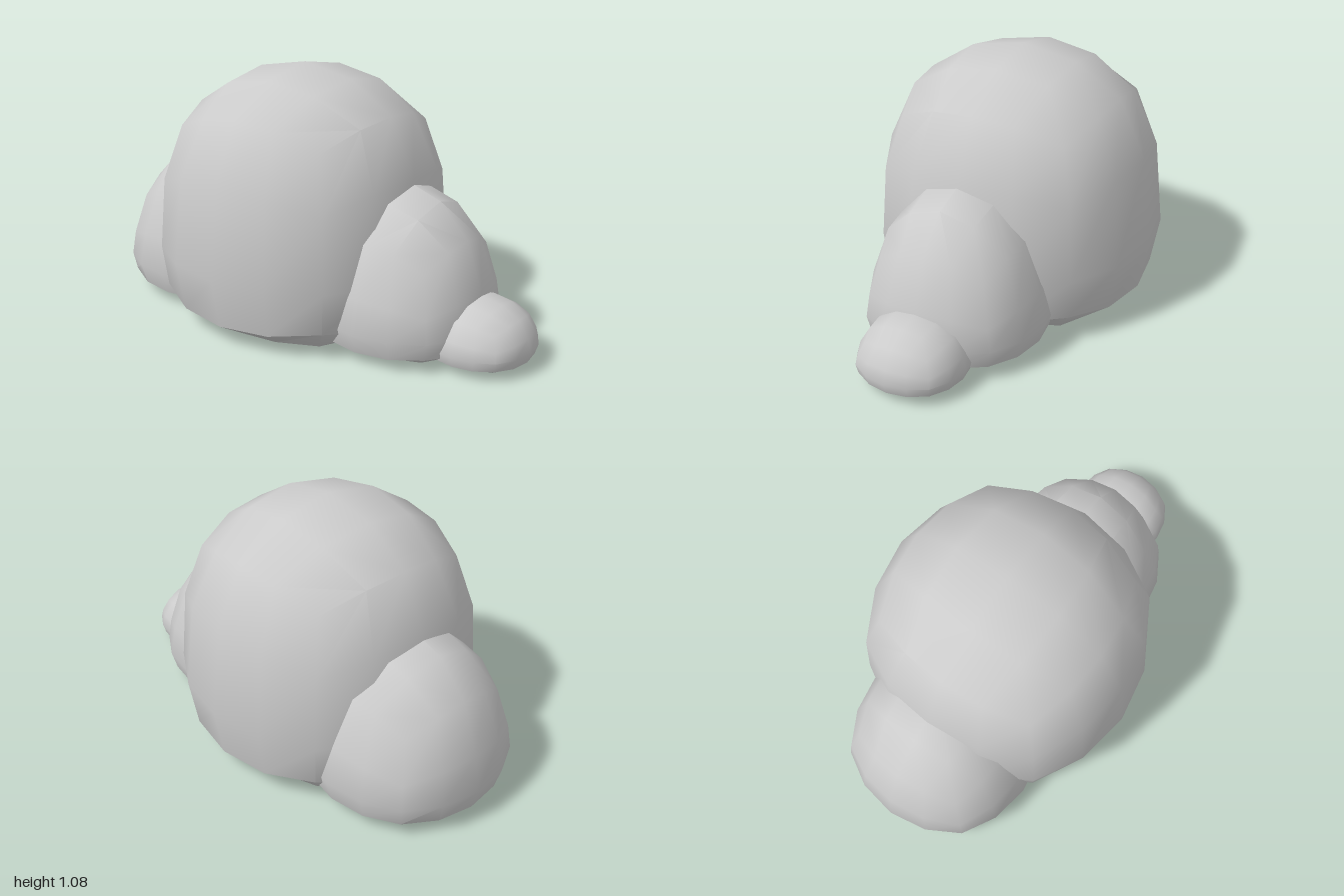
import * as THREE from 'three';
import { mergeVertices, toCreasedNormals } from 'three/addons/utils/BufferGeometryUtils.js';

const leafMaterial = new THREE.MeshStandardMaterial({ color: 0xcccccc });
const trunkMaterial = new THREE.MeshStandardMaterial({ color: 0xa06a48 });

// Rounded dome: a cube grid pushed out to a ball, swollen above its widest level and flattened below it.
function lobe(name, { x, radius, widest, top, bottom, power }) {
  const box = new THREE.BoxGeometry(2, 2, 2, 4, 4, 4);
  box.deleteAttribute('normal');
  box.deleteAttribute('uv');
  const geometry = mergeVertices(box);
  const p = geometry.attributes.position;
  const v = new THREE.Vector3();
  const spread = (c) => (Math.abs(c) === 0.5 ? c * 0.86 : c);
  for (let i = 0; i < p.count; i++) {
    v.fromBufferAttribute(p, i);
    v.set(spread(v.x), spread(v.y), spread(v.z)).normalize();
    // slightly squared outline
    const largest = Math.max(Math.abs(v.x), Math.abs(v.y), Math.abs(v.z));
    v.multiplyScalar(1 + 0.09 * (1 - largest * largest));
    const d = Math.min(1, Math.abs(v.y));
    const y = v.y >= 0
      ? widest + (top - widest) * Math.pow(d, power)
      : widest - (widest - bottom) * (1 - Math.pow(1 - d, 2.6));
    p.setXYZ(i, v.x * radius, y, v.z * radius);
  }
  const mesh = new THREE.Mesh(toCreasedNormals(geometry, 0.7), leafMaterial);
  mesh.name = name;
  mesh.position.x = x;
  return mesh;
}

export function createModel() {
  const group = new THREE.Group();
  group.name = 'bush';

  // Foliage, from the tall middle out to the small end
  group.add(
    lobe('mainLobe', { x: -0.11, radius: 0.595, widest: 0.29, top: 1.08, bottom: 0.004, power: 0.8 }),
    lobe('rightLobe', { x: -0.585, radius: 0.412, widest: 0.14, top: 0.69, bottom: 0.015, power: 1.4 }),
    lobe('leftLobe', { x: 0.42, radius: 0.378, widest: 0.13, top: 0.66, bottom: 0.018, power: 1.45 }),
    lobe('smallLobe', { x: 0.775, radius: 0.224, widest: 0.083, top: 0.262, bottom: 0.024, power: 1.3 }),
  );

  // Short trunk, just showing underneath
  const trunk = new THREE.Mesh(new THREE.BoxGeometry(0.3, 0.2, 0.3), trunkMaterial);
  trunk.name = 'trunk';
  trunk.position.y = 0.1;
  group.add(trunk);

  return group;
}
